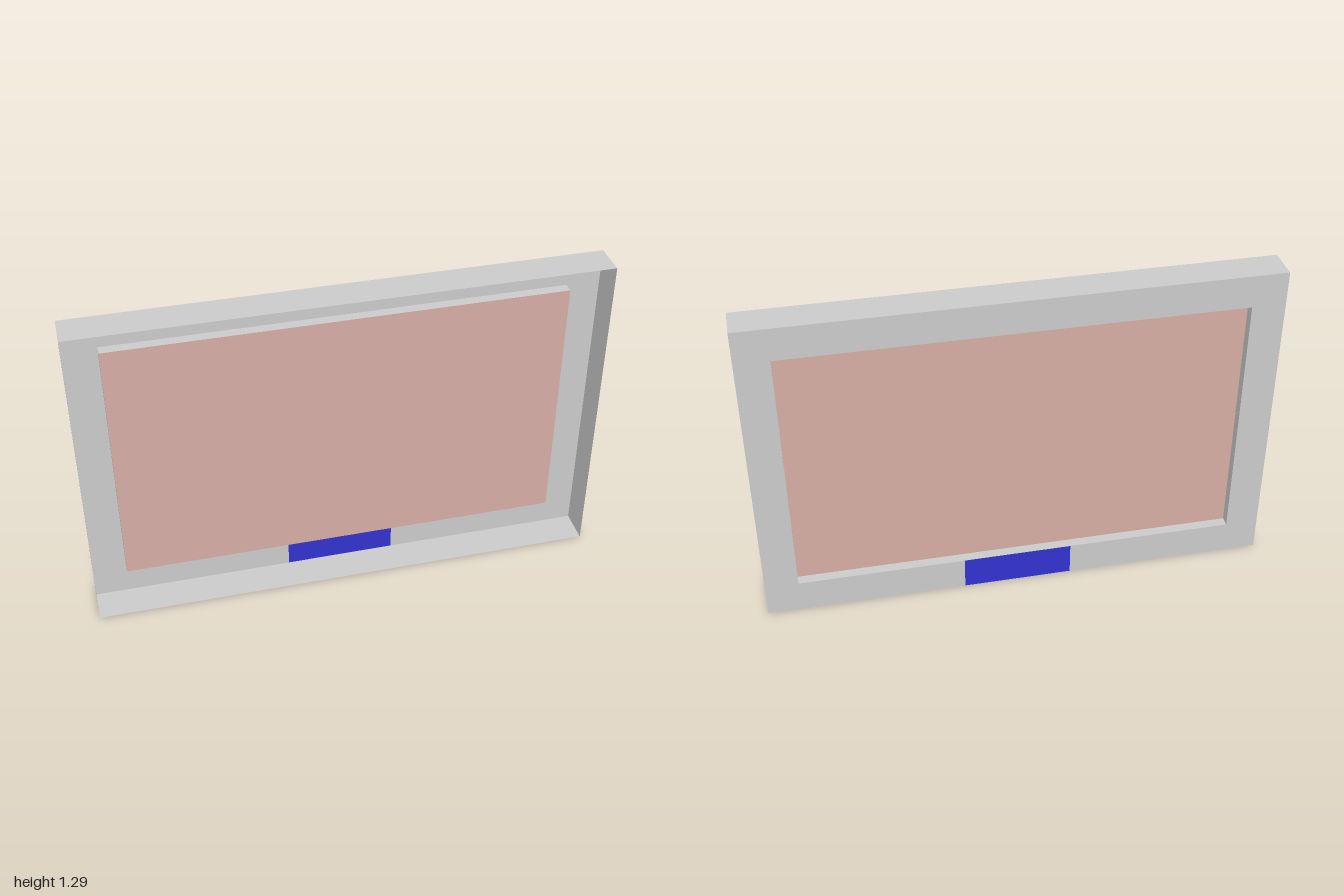
import * as THREE from 'three';
import { mergeGeometries } from 'three/addons/utils/BufferGeometryUtils.js';

const W = 1, H = 1.295;                  // half width and height of the frame
const BACK = -0.067, FRONT = 0.067;      // depth of the outer rim
const PW = 0.87, P0 = 0.133, P1 = 1.165; // raised panel: half width, bottom, top
const PZ = -0.027;                       // panel plane
const TAB = 0.215;                       // half width of the coloured tab

// Thin sheets are visible from both sides
const sheetMaterial = (color) =>
  new THREE.MeshStandardMaterial({ color, side: THREE.DoubleSide });

// Four thin walls around a rectangle, open at front and back
function rectWalls(halfW, y0, y1, z0, z1) {
  const depth = z1 - z0, zc = (z0 + z1) / 2, walls = [];
  for (const s of [-1, 1]) {
    walls.push(new THREE.PlaneGeometry(depth, y1 - y0)
      .rotateY(s * Math.PI / 2).translate(s * halfW, (y0 + y1) / 2, zc));
    walls.push(new THREE.PlaneGeometry(2 * halfW, depth)
      .rotateX(-s * Math.PI / 2).translate(0, s > 0 ? y1 : y0, zc));
  }
  return mergeGeometries(walls);
}

export function createModel() {
  const model = new THREE.Group();
  const grey = sheetMaterial(0xcccccc);
  const add = (name, geometry, material) => {
    const mesh = new THREE.Mesh(geometry, material);
    mesh.name = name;
    model.add(mesh);
  };

  // Outer rim, open towards the front
  add('outerRim', rectWalls(W, 0, H, BACK, FRONT), grey);

  // Flat border at the back, cut out for the panel and the tab
  const border = new THREE.Shape([
    [-W, 0], [-TAB, 0], [-TAB, P0], [-PW, P0], [-PW, P1], [PW, P1],
    [PW, P0], [TAB, P0], [TAB, 0], [W, 0], [W, H], [-W, H],
  ].map(([x, y]) => new THREE.Vector2(x, y)));
  add('backBorder', new THREE.ShapeGeometry(border).translate(0, 0, BACK), grey);

  // Step from the border forward to the panel
  add('panelStep', rectWalls(PW, P0, P1, BACK, PZ), grey);

  // Raised panel, recessed when seen from behind
  add('panel', new THREE.PlaneGeometry(2 * PW, P1 - P0)
    .translate(0, (P0 + P1) / 2, PZ), sheetMaterial(0xd6ada4));

  // Coloured tab set flush into the bottom border
  add('bottomTab', new THREE.PlaneGeometry(2 * TAB, P0)
    .translate(0, P0 / 2, BACK), sheetMaterial(0x3232cf));

  return model;
}
